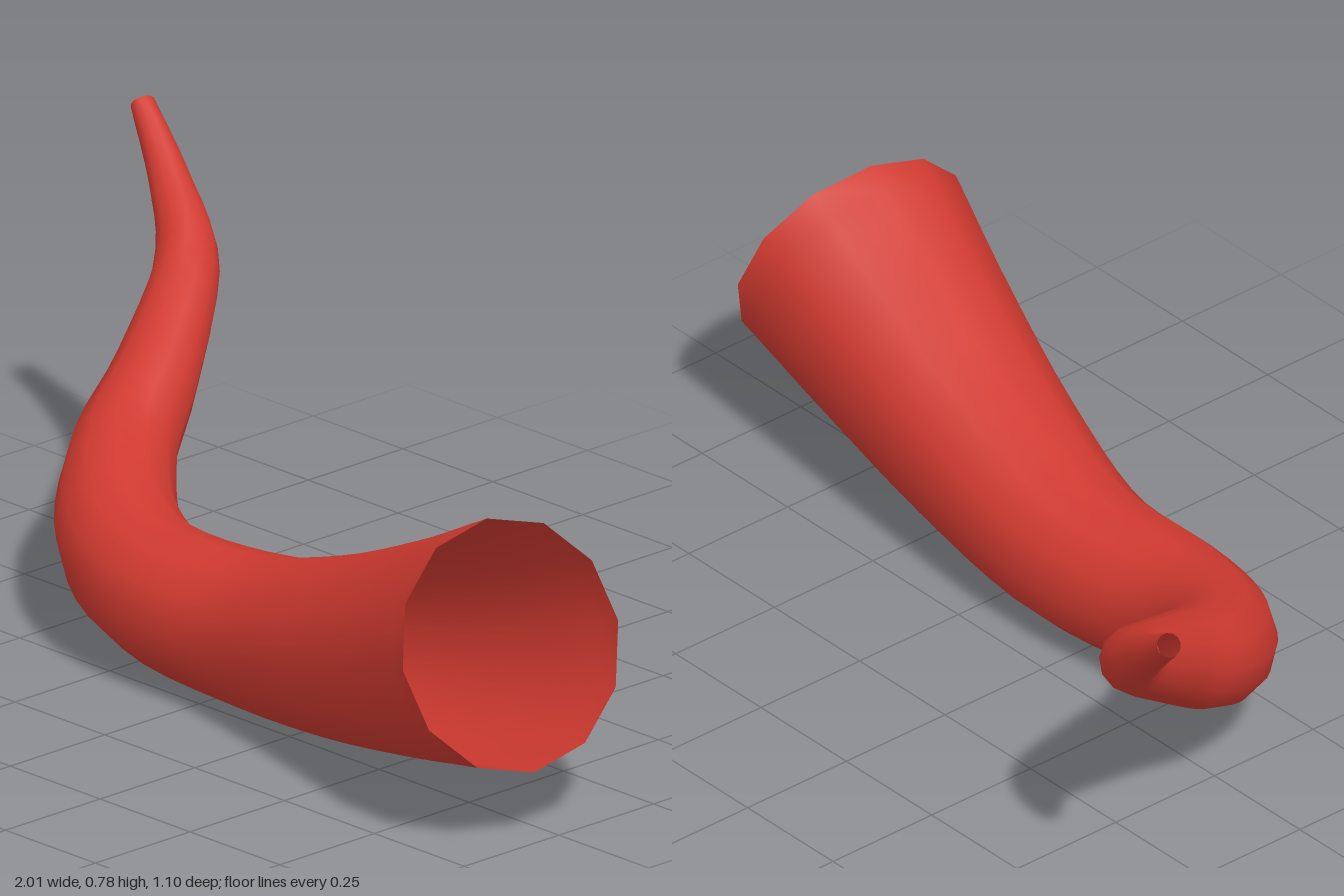
import * as THREE from 'three';

const SIDES = 12, RINGS = 44;

// Centreline from the narrow tip to the open mouth: x, y, z, radius
const stations = [
  [-0.985, 0.768, -0.535, 0.024],
  [-0.85, 0.655, -0.48, 0.042],
  [-0.715, 0.543, -0.395, 0.064],
  [-0.595, 0.405, -0.2, 0.086],
  [-0.51, 0.3, -0.03, 0.107],
  [-0.37, 0.213, 0.108, 0.125],
  [-0.18, 0.165, 0.173, 0.138],
  [0.1, 0.158, 0.172, 0.154],
  [0.4, 0.215, 0.213, 0.183],
  [0.69, 0.302, 0.262, 0.217],
  [0.92, 0.384, 0.302, 0.248],
];

// Sweeps a 12-sided ring of changing radius along the centreline
function hornGeometry() {
  const path = new THREE.CatmullRomCurve3(
    stations.map(([x, y, z]) => new THREE.Vector3(x, y, z)), false, 'catmullrom', 0.5);
  const width = new THREE.CatmullRomCurve3(
    stations.map((s) => new THREE.Vector3(s[3], 0, 0)), false, 'catmullrom', 0.5);
  const positions = [], index = [];
  const up = new THREE.Vector3(0, 1, 0);

  for (let i = 0; i <= RINGS; i++) {
    const t = i / RINGS;
    const centre = path.getPoint(t), tangent = path.getTangent(t);
    const radius = width.getPoint(t).x;
    const side = new THREE.Vector3().crossVectors(tangent, up).normalize();
    const top = new THREE.Vector3().crossVectors(side, tangent);
    for (let j = 0; j < SIDES; j++) {
      const a = (j / SIDES) * Math.PI * 2;
      const p = centre.clone()
        .addScaledVector(top, Math.cos(a) * radius)
        .addScaledVector(side, Math.sin(a) * radius);
      positions.push(p.x, p.y, p.z);
      if (i < RINGS) {
        const k = (j + 1) % SIDES;
        const p0 = i * SIDES + j, p1 = i * SIDES + k;
        index.push(p0, p1, p0 + SIDES, p1, p1 + SIDES, p0 + SIDES);
      }
    }
  }

  const geometry = new THREE.BufferGeometry();
  geometry.setAttribute('position', new THREE.Float32BufferAttribute(positions, 3));
  geometry.setIndex(index);
  geometry.computeVertexNormals();
  return geometry;
}

export function createModel() {
  const group = new THREE.Group();
  group.name = 'horn';

  // Thin shell, open at both ends, so the inside shows too
  const red = new THREE.MeshStandardMaterial({ color: 0xd03a30, side: THREE.DoubleSide });
  red.name = 'red';

  const shell = new THREE.Mesh(hornGeometry(), red);
  shell.name = 'hornShell';
  group.add(shell);
  return group;
}
